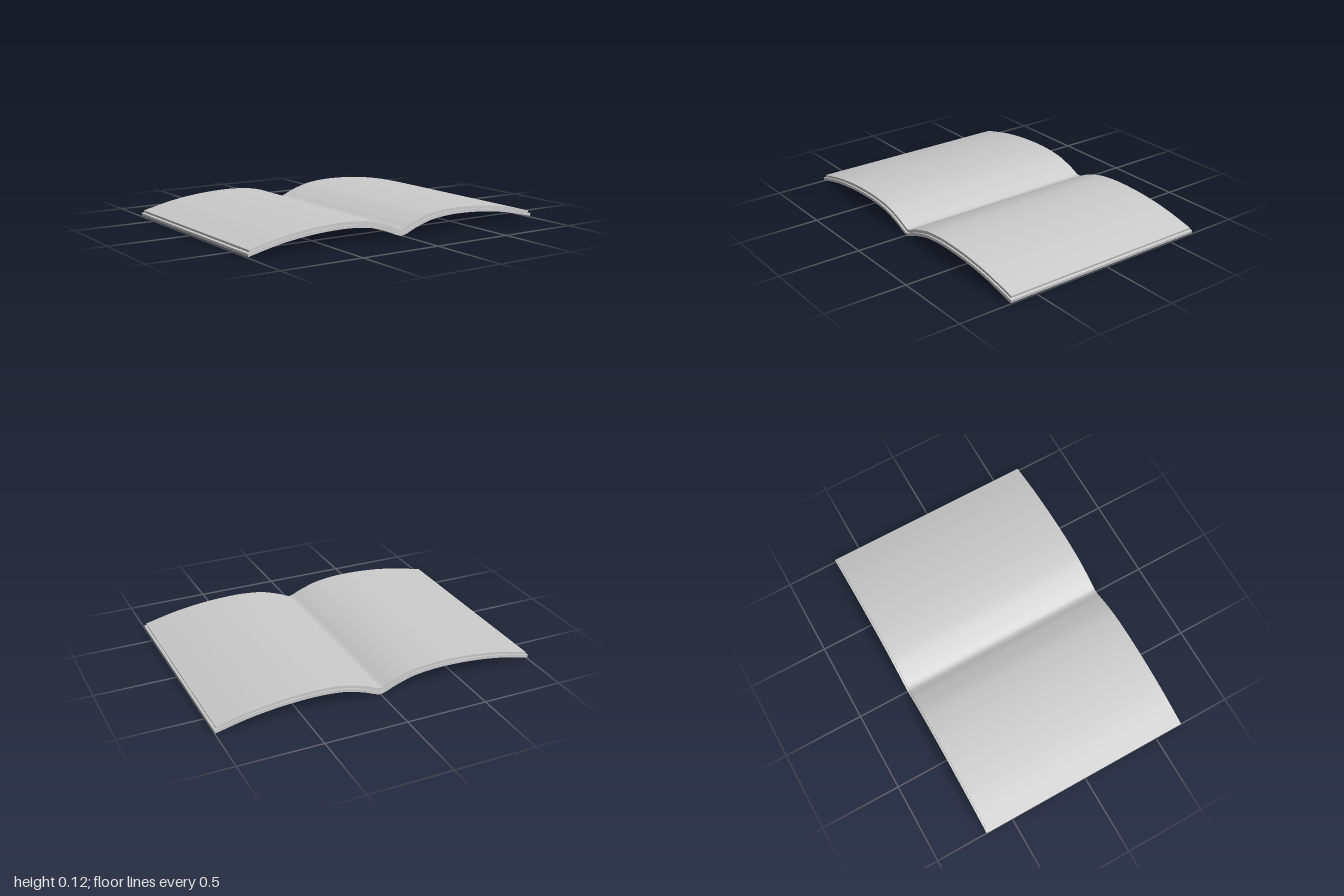
import * as THREE from 'three';
import { toCreasedNormals } from 'three/addons/utils/BufferGeometryUtils.js';

// Underside of one half of the open book, from the spine outwards
const HALF = [[0.007, 0], [0.04, 0.01], [0.1, 0.035], [0.2, 0.066], [0.3, 0.08],
  [0.42, 0.085], [0.6, 0.077], [0.8, 0.051], [1, 0.006]];

// A bent sheet between two heights above the underside, ending at x = +-reach
function sheet(low, high, reach, depth) {
  const right = HALF.map(([x, y]) => new THREE.Vector2(
    x < 0.01 ? x : x * reach, y));
  const curve = new THREE.SplineCurve(right);
  const half = curve.getPoints(32);
  const side = (h) => half.map((p, i) => {
    const t = curve.getTangent(i / 32);
    // lean the thickness along the surface normal, but keep the spine upright
    const lean = Math.min(1, i / 6);
    return new THREE.Vector2(p.x - t.y * h * lean, p.y + h * (1 - lean + t.x * lean));
  });
  const full = (h) => {
    const pts = side(h);
    return [...pts.map((p) => new THREE.Vector2(-p.x, p.y)).reverse(), ...pts];
  };
  const outline = new THREE.Shape([...full(low), ...full(high).reverse()]);
  const geometry = new THREE.ExtrudeGeometry(outline, { depth, bevelEnabled: false, steps: 1 });
  geometry.translate(0, 0, -depth / 2);
  return toCreasedNormals(geometry, 0.6);
}

export function createModel() {
  const book = new THREE.Group();
  book.name = 'openBook';
  const paper = new THREE.MeshStandardMaterial({ color: 0xcccccc });
  paper.name = 'light grey';

  // Cover, slightly larger than the pages
  const cover = new THREE.Mesh(sheet(0, 0.018, 1, 1.35), paper);
  cover.name = 'cover';

  // Page block lying on the cover
  const pages = new THREE.Mesh(sheet(0.018, 0.036, 0.984, 1.33), paper);
  pages.name = 'pages';
  // follow the cover where the shorter reach shifts the curve
  pages.position.y = -0.0005;

  book.add(cover, pages);
  return book;
}
